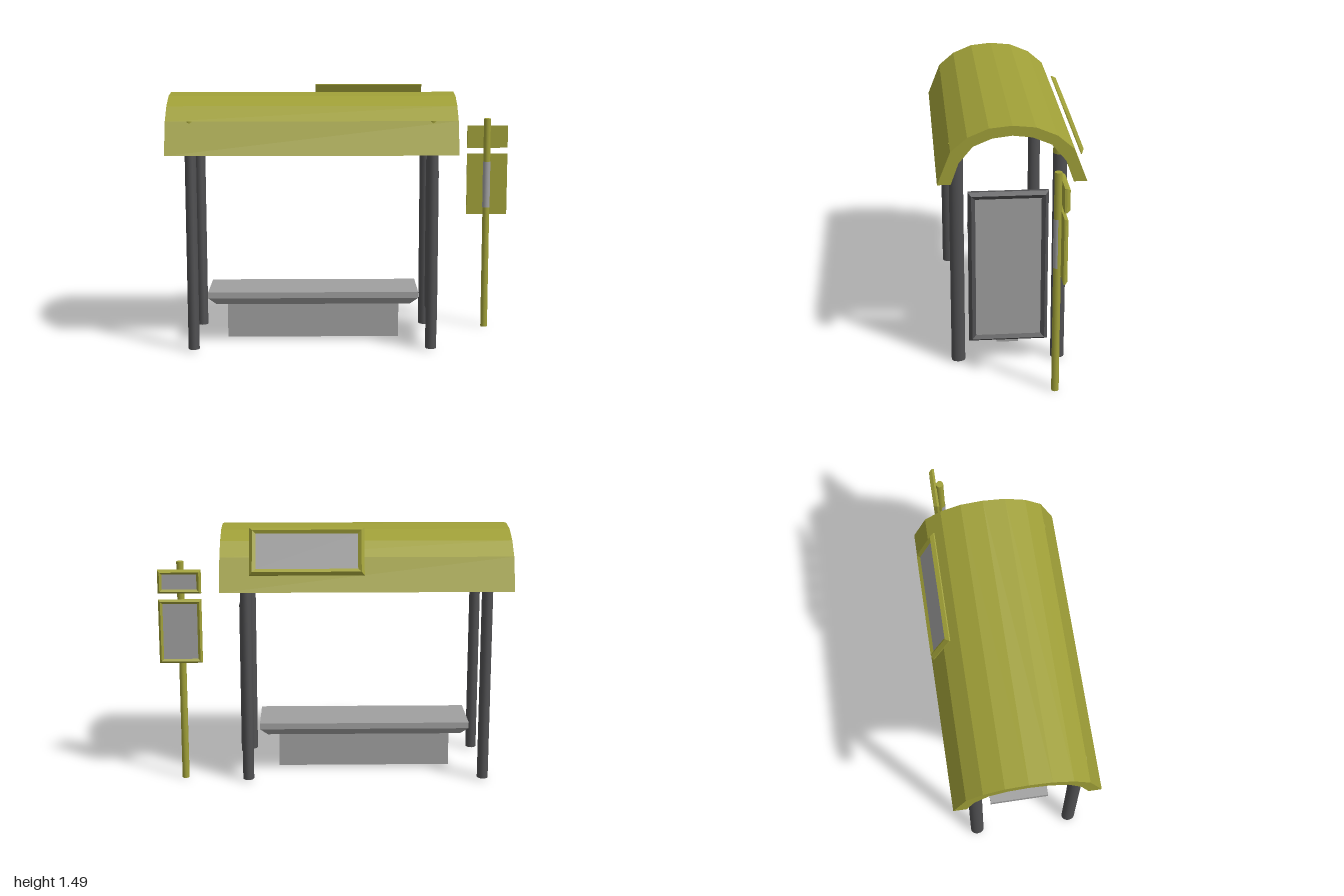
import * as THREE from 'three';

const mat = (name, color, side = THREE.FrontSide) => {
  const m = new THREE.MeshStandardMaterial({ color, side });
  m.name = name;
  return m;
};

// Flat-shaded geometry from a list of quads (corners counter-clockwise seen from outside)
function quads(list) {
  const pos = [];
  for (const [a, b, c, d] of list) pos.push(...a, ...b, ...c, ...a, ...c, ...d);
  const g = new THREE.BufferGeometry();
  g.setAttribute('position', new THREE.Float32BufferAttribute(pos, 3));
  g.computeVertexNormals();
  return g;
}

// Rectangle corners at a given inset and depth
const rect = (w, h, [inset, z]) => {
  const x = w / 2 - inset, y = h / 2 - inset;
  return [[-x, -y, z], [x, -y, z], [x, y, z], [-x, y, z]];
};

// Bevelled frame with a recessed face, facing local +z; steps are [inset, depth]
function framedPanel(name, w, h, steps, frameMat, faceMat) {
  const loops = steps.map((s) => rect(w, h, s));
  const list = [[...loops[0]].reverse()];
  for (let i = 0; i + 1 < loops.length; i++) {
    for (let k = 0; k < 4; k++) {
      const n = (k + 1) % 4;
      list.push([loops[i][k], loops[i][n], loops[i + 1][n], loops[i + 1][k]]);
    }
  }
  const group = new THREE.Group();
  group.name = name;
  const frame = new THREE.Mesh(quads(list), frameMat);
  frame.name = name + 'Frame';
  const face = new THREE.Mesh(quads([loops[loops.length - 1]]), faceMat);
  face.name = name + 'Face';
  group.add(frame, face);
  return group;
}

export function createModel() {
  const root = new THREE.Group();
  root.name = 'busShelter';
  const olive = mat('olive', 0xa0a038);
  const gray = mat('lightGray', 0xa0a0a0);
  const dark = mat('darkGray', 0x505052);
  const sleeveGray = gray;

  const add = (name, geo, material, x = 0, y = 0, z = 0) => {
    const m = new THREE.Mesh(geo, material);
    m.name = name;
    m.position.set(x, y, z);
    root.add(m);
    return m;
  };

  // Arched roof: half profile mirrored, extruded along x
  const outer = [[0.403, 1.14], [0.33, 1.325], [0.24, 1.402], [0.125, 1.45]];
  const inner = [[0.33, 1.14], [0.287, 1.26], [0.21, 1.352], [0.107, 1.395]];
  const arch = (half, top) => [
    ...half, [0, top], ...[...half].reverse().map(([z, y]) => [-z, y]),
  ];
  const outline = [...arch(outer, 1.463), ...arch(inner, 1.408).reverse()];
  const roofShape = new THREE.Shape(outline.map(([z, y]) => new THREE.Vector2(z, y)));
  const roofGeo = new THREE.ExtrudeGeometry(roofShape, { depth: 1.64, bevelEnabled: false });
  roofGeo.rotateY(Math.PI / 2);
  add('roof', roofGeo, olive, -1, 0, 0);

  // Four oval posts with caps meeting the roof
  const postGeo = new THREE.CylinderGeometry(1, 1, 1.245, 16);
  const capGeo = new THREE.CylinderGeometry(1, 1, 0.07, 16);
  for (const x of [-0.865, 0.5]) {
    for (const z of [0.296, -0.272]) {
      add('post', postGeo, dark, x, 0.6325, z).scale.set(0.032, 1, 0.039);
      add('postCap', capGeo, olive, x, 1.29, z).scale.set(0.032, 1, 0.039);
    }
  }

  // Bench: pedestal and a seat with an undercut edge
  add('benchBase', new THREE.BoxGeometry(1.01, 0.22, 0.128), gray, -0.18, 0.125, 0);
  const seat = [[0.045, 0], [0, 0.045], [0, 0.08]].map((s) => rect(1.225, 0.35, s));
  const seatQuads = [[...seat[0]].reverse(), seat[2]];
  for (let i = 0; i < 2; i++) {
    for (let k = 0; k < 4; k++) {
      const n = (k + 1) % 4;
      seatQuads.push([seat[i][k], seat[i][n], seat[i + 1][n], seat[i + 1][k]]);
    }
  }
  const seatGeo = quads(seatQuads);
  seatGeo.rotateX(-Math.PI / 2);
  add('benchSeat', seatGeo, gray, -0.178, 0.23, 0);

  // Side wall between the end posts, facing outward
  const wall = framedPanel('sideWall', 0.445, 0.91,
    [[0, 0], [0, 0.018], [0.018, 0.04], [0.04, 0.028]], dark, gray);
  wall.position.set(0.502, 0.59, 0.012);
  wall.rotation.y = Math.PI / 2;
  root.add(wall);

  // Tilted sign behind the roof
  const roofSign = framedPanel('roofSign', 0.64, 0.27,
    [[0, 0], [0, 0.006], [0.017, 0.024], [0.036, 0.012]], olive, gray);
  roofSign.rotation.order = 'YXZ';
  roofSign.rotation.set(-0.37, Math.PI, 0);
  roofSign.position.set(0.155, 1.359, -0.34);
  root.add(roofSign);

  // Free-standing pole with a sleeve around its front half
  add('signPole', new THREE.CylinderGeometry(0.021, 0.021, 1.285, 10), olive, 0.87, 0.6425, -0.218);
  add('poleSleeve', new THREE.CylinderGeometry(0.0225, 0.0225, 0.28, 8, 1, true, -Math.PI / 2, Math.PI),
    sleeveGray, 0.87, 0.885, -0.218);

  // Two signs on the pole, facing the back
  for (const [name, y, h, t] of [['lowerSign', 0.885, 0.37, 0.022], ['upperSign', 1.173, 0.135, 0.03]]) {
    const sign = framedPanel(name, 0.245, h,
      [[0, 0], [0, t * 0.4], [0.012, t], [0.025, t * 0.6]], olive, gray);
    sign.position.set(0.875, y, -0.237);
    sign.rotation.y = Math.PI;
    root.add(sign);
  }

  return root;
}
